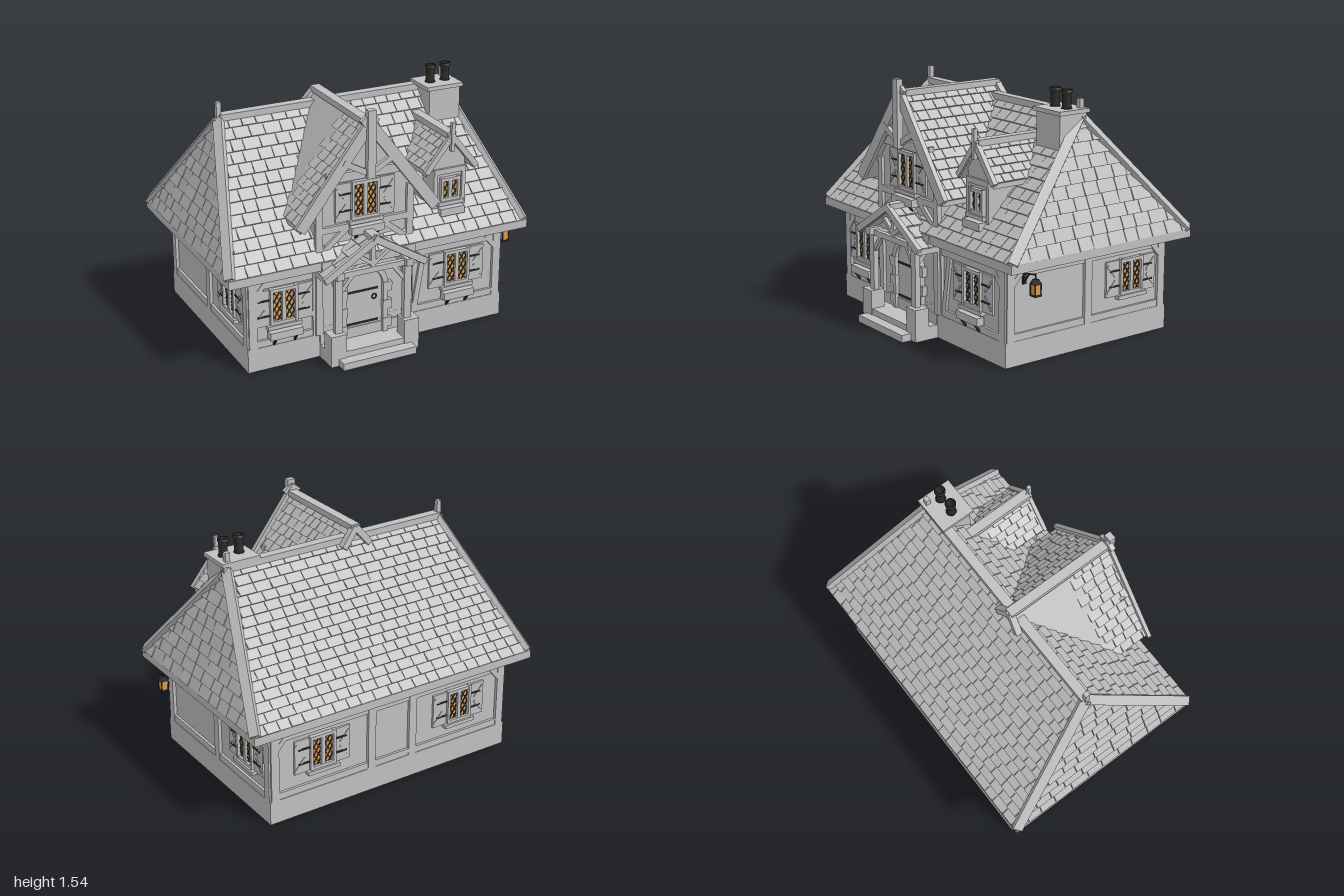
import * as THREE from 'three';
import { ConvexGeometry } from 'three/addons/geometries/ConvexGeometry.js';

const mat = (name, color) => Object.assign(new THREE.MeshStandardMaterial({ color }), { name });
const stone = mat('paleGrey', 0xc0c0c0);
const iron = mat('darkIron', 0x2c2c29);
const amber = mat('amberGlass', 0xd99c50);
const V = (x, y, z) => new THREE.Vector3(x, y, z);

let seed = 7;
const rand = () => (seed = (seed * 16807) % 2147483647) / 2147483647;

function add(parent, name, geo, m = stone, x = 0, y = 0, z = 0) {
  const mesh = new THREE.Mesh(geo, m);
  mesh.name = name;
  mesh.position.set(x, y, z);
  parent.add(mesh);
  return mesh;
}
// box given by its limits on each axis
const span = (p, name, x0, x1, y0, y1, z0, z1, m) =>
  add(p, name, new THREE.BoxGeometry(x1 - x0, y1 - y0, z1 - z0), m, (x0 + x1) / 2, (y0 + y1) / 2, (z0 + z1) / 2);
// bar from a to b, w wide and h thick along the up direction
function beam(p, name, a, b, w, h, m = stone, up = V(0, 0, 1)) {
  const mesh = add(p, name, new THREE.BoxGeometry(w, h, a.distanceTo(b)), m);
  mesh.up.copy(up);
  const q = new THREE.Matrix4().lookAt(b, a, up);
  mesh.quaternion.setFromRotationMatrix(q);
  mesh.position.copy(a).add(b).multiplyScalar(0.5);
  return mesh;
}
// hollow rectangular ring of wall
function ring(p, name, x, zf, zb, y0, y1, t) {
  const rect = (C, k) => new C([[-x + k, -zf + k], [x - k, -zf + k], [x - k, -zb - k], [-x + k, -zb - k]].map(c => new THREE.Vector2(...c)));
  const s = rect(THREE.Shape, 0);
  s.holes.push(rect(THREE.Path, t));
  const g = new THREE.ExtrudeGeometry(s, { depth: y1 - y0, bevelEnabled: false });
  add(p, name, g.rotateX(-Math.PI / 2), stone, 0, y0, 0);
}
// staggered shingles over a slope: A, B along the eave, C, D along the ridge
function shingles(p, name, A, B, C, D, rows, width) {
  const dir = B.clone().sub(A), len = dir.length();
  dir.normalize();
  const sl = D.clone().sub(A).dot(dir), sr = C.clone().sub(B).dot(dir);
  const up = D.clone().sub(A).addScaledVector(dir, -sl);
  const n = dir.clone().cross(up).normalize(), pos = [];
  const at = (u, t, h) => A.clone().addScaledVector(dir, u).addScaledVector(up, t).addScaledVector(n, h);
  const quad = (...c) => [0, 1, 2, 0, 2, 3].forEach(i => pos.push(...c[i].toArray()));
  for (let r = 0; r < rows; r++) {
    const t0 = r / rows, t1 = (r + 1) / rows;
    const clip = (u, t) => Math.min(Math.max(u, sl * t), len + sr * t);
    let u = -width * (r % 2 ? 0.5 : 0) - 0.3 * width * rand();
    while (u < len + Math.max(0, sr)) {
      const v = u + width * (0.8 + 0.4 * rand()), g = 0.002;
      const c = [[clip(u + g, t0), t0], [clip(v - g, t0), t0], [clip(v - g, t1), t1], [clip(u + g, t1), t1]];
      u = v;
      if (c[1][0] - c[0][0] + c[2][0] - c[3][0] < 0.004) continue;
      const lift = 0.011 + 0.006 * rand();
      const b = c.map(k => at(...k, 0)), q = c.map((k, i) => at(...k, i < 2 ? lift : 0.003));
      quad(q[0], q[1], q[2], q[3]);
      quad(b[0], b[1], q[1], q[0]);
      quad(b[3], b[0], q[0], q[3]);
      quad(b[1], b[2], q[2], q[1]);
    }
  }
  const geo = new THREE.BufferGeometry();
  geo.setAttribute('position', new THREE.Float32BufferAttribute(pos, 3));
  geo.computeVertexNormals();
  add(p, name, geo);
}
// pitched roof running along z, with bargeboards at the front
function gableRoof(p, name, o) {
  const g = new THREE.Group();
  g.name = name;
  p.add(g);
  for (const s of [-1, 1]) {
    const ef = V(o.x + s * o.hw, o.ye, o.zf), eb = V(o.x + s * o.hw, o.ye, o.zbe);
    const rf = V(o.x, o.yr, o.zf), rb = V(o.x, o.yr, o.zbr);
    const pts = [ef, eb, rb, rf];
    add(g, 'roofSlab', new ConvexGeometry([...pts, ...pts.map(v => v.clone().add(V(0, -0.03, 0)))]));
    if (s > 0) shingles(g, 'roofShingles', ef, eb, rb, rf, o.rows, 0.075);
    else shingles(g, 'roofShingles', eb, ef, rf, rb, o.rows, 0.075);
    const d = ef.clone().sub(rf).normalize();
    beam(g, 'bargeboard', rf.clone().addScaledVector(d, -o.over), ef.clone().addScaledVector(d, 0.01), o.bw, 0.028 + s * 0.003);
  }
  span(g, 'ridgeCap', o.x - 0.03, o.x + 0.03, o.yr - 0.015, o.yr + 0.022, o.zbr + 0.01, o.zf);
}
function gableBody(p, name, x, hw, y0, ye, ya, zf, zb) {
  const s = new THREE.Shape([[-hw, y0], [hw, y0], [hw, ye], [0, ya], [-hw, ye]].map(c => new THREE.Vector2(...c)));
  add(p, name, new THREE.ExtrudeGeometry(s, { depth: zf - zb, bevelEnabled: false }), stone, x, 0, zb);
}
// leaded casement window facing local +z; (x, y) is the pane centre
function windowAt(p, name, x, y, w, h, { shutters = true, planter = false, z = 0 } = {}) {
  const g = new THREE.Group();
  g.name = name;
  g.position.set(x, y, z);
  p.add(g);
  span(g, 'glass', -w / 2, w / 2, -h / 2, h / 2, -0.064, 0.006, amber);
  for (const s of [-1, 1]) {
    span(g, 'frameSide', s * w / 2 - 0.009, s * w / 2 + 0.009, -h / 2 - 0.015, h / 2 + 0.015, 0, 0.028);
    span(g, 'frameRail', -w / 2, w / 2, s * h / 2 - 0.009, s * h / 2 + 0.012, 0, 0.026);
    // diamond lattice, clipped to each casement
    const pw = w / 2 - 0.014, cx = s * w / 4, k = 0.62;
    for (const e of [-1, 1]) for (let c = -0.3; c < 0.3; c += 0.033) {
      const ends = [(-pw / 2 - c) / k, (pw / 2 - c) / k];
      const y0 = Math.max(-h / 2, ends[0]), y1 = Math.min(h / 2, ends[1]);
      if (y1 - y0 > 0.01) beam(g, 'leading', V(cx + e * (c + k * y0), y0, 0.008), V(cx + e * (c + k * y1), y1, 0.008), 0.006, 0.006, iron);
    }
    if (!shutters) continue;
    const a = w / 2 + 0.012, b = a + 0.1, X = (q, r) => [Math.min(s * q, s * r), Math.max(s * q, s * r)];
    span(g, 'shutter', ...X(a, b), -h / 2 - 0.01, h / 2 + 0.01, 0, 0.014);
    for (const e of [-1, 1]) {
      span(g, 'shutterStrap', ...X(a, a + 0.075), e * h * 0.24 - 0.005, e * h * 0.24 + 0.005, 0.012, 0.02, iron);
      beam(g, 'shutterBrace', V(s * (b - 0.008), e * h * 0.42, 0.015), V(s * (a + 0.03), e * h * 0.06, 0.015), 0.014, 0.008);
    }
  }
  span(g, 'mullion', -0.012, 0.012, -h / 2, h / 2, 0, 0.024);
  span(g, 'sill', -w / 2 - 0.03, w / 2 + 0.03, -h / 2 - 0.032, -h / 2 - 0.008, 0, 0.038);
  if (!planter) return;
  span(g, 'planter', -w / 2 - 0.025, w / 2 + 0.025, -h / 2 - 0.09, -h / 2 - 0.042, 0.01, 0.06);
  for (const s of [-1, 1]) beam(g, 'planterBracket', V(s * w * 0.42, -h / 2 - 0.14, 0.012), V(s * w * 0.42, -h / 2 - 0.088, 0.05), 0.012, 0.012, iron);
}
const archOutline = (C, r, spring) => new C().moveTo(-r, 0).lineTo(r, 0).lineTo(r, spring).absarc(0, spring, r, 0, Math.PI).lineTo(-r, 0);

export function createModel() {
  const house = new THREE.Group();
  house.name = 'cottage';
  const cx = -0.105;

  // foundation and hollow walls
  ring(house, 'foundation', 0.865, 0.535, -0.69, 0, 0.15, 0.075);
  ring(house, 'walls', 0.845, 0.515, -0.67, 0.15, 0.61, 0.06);
  span(house, 'bayFoundation', cx - 0.295, cx + 0.295, 0, 0.15, 0.5, 0.545);

  // timbered faces, each worked in its own wall plane
  const face = (name, x, z, ry, u0, u1, posts) => {
    const f = new THREE.Group();
    f.name = name;
    f.position.set(x, 0, z);
    f.rotation.y = ry;
    house.add(f);
    span(f, 'sillBeam', u0, u1, 0.15, 0.192, 0, 0.016);
    span(f, 'topBeam', u0, u1, 0.525, 0.6, 0, 0.016);
    for (const u of [u0 + 0.018, u1 - 0.018, ...posts]) span(f, 'post', u - 0.027, u + 0.027, 0.15, 0.6, 0, 0.02);
    for (const [u, s] of [[u0, 1], [u1, -1]]) beam(f, 'cornerBrace', V(u + s * 0.03, 0.48, 0.01), V(u + s * 0.1, 0.56, 0.01), 0.03, 0.02);
    return f;
  };
  const front = face('frontWall', 0, 0.515, 0, -0.845, 0.845, [cx - 0.31, cx + 0.31]);
  const right = face('leftSideWall', 0.845, 0, Math.PI / 2, -0.515, 0.67, [0.075]);
  const left = face('rightSideWall', -0.845, 0, -Math.PI / 2, -0.67, 0.515, [-0.075]);
  const back = face('backWall', 0, -0.67, Math.PI, -0.845, 0.845, [-0.15, 0.15]);
  windowAt(front, 'frontWindow', -0.63, 0.395, 0.16, 0.21, { planter: true });
  windowAt(front, 'frontWindow', 0.54, 0.395, 0.16, 0.21, { planter: true });
  windowAt(right, 'sideWindow', 0.41, 0.385, 0.16, 0.2);
  windowAt(left, 'sideWindow', 0.26, 0.385, 0.16, 0.2);
  for (const s of [-1, 1]) windowAt(back, 'backWindow', s * 0.5, 0.385, 0.16, 0.2);
  beam(front, 'slantedBrace', V(0.25, 0.19, 0.008), V(0.305, 0.53, 0.008), 0.035, 0.018);

  // hipped main roof
  const rx = 0.76, ry = 1.38, rz = -0.08, ex = 0.99, ey = 0.645, ef = 0.588, eb = -0.75;
  const corners = [[-ex, ef], [ex, ef], [ex, eb], [-ex, eb]];
  const E = corners.map(([x, z]) => V(x, ey, z)), R = [V(-rx, ry, rz), V(rx, ry, rz)];
  add(house, 'roofCore', new ConvexGeometry([...E, ...R, ...E.map(v => V(v.x, 0.6, v.z))]));
  ring(house, 'eavesFascia', 1, 0.597, -0.757, 0.597, 0.65, 0.02);
  shingles(house, 'frontShingles', E[0], E[1], R[1], R[0], 13, 0.095);
  shingles(house, 'backShingles', E[2], E[3], R[0], R[1], 16, 0.095);
  shingles(house, 'sideShingles', E[1], E[2], R[1], R[1], 10, 0.12);
  shingles(house, 'sideShingles', E[3], E[0], R[0], R[0], 10, 0.12);
  E.forEach((e, i) => {
    const r = R[i === 1 || i === 2 ? 1 : 0], up = V(Math.sign(e.x) * 0.9, 0.5, Math.sign(e.z) * 0.65);
    beam(house, 'hipCap', e.clone().lerp(r, 0.01), r, 0.06, 0.035, stone, up);
  });
  span(house, 'ridgeCap', -rx, rx, 1.365, 1.405, rz - 0.03, rz + 0.03);
  for (const s of [-1, 1]) span(house, 'ridgeFinial', s * rx - 0.015, s * rx + 0.015, 1.37, 1.48, rz - 0.015, rz + 0.015);

  // large front gable
  gableBody(house, 'gableWall', cx, 0.31, 0.6, 1.02, 1.43, 0.53, -0.07);
  span(house, 'bayWall', cx - 0.31, cx + 0.31, 0.15, 0.62, 0.49, 0.53);
  gableRoof(house, 'gableRoof', { x: cx, yr: 1.455, ye: 0.88, hw: 0.44, zf: 0.592, zbr: -0.14, zbe: 0.34, rows: 11, over: 0.055, bw: 0.07 });
  span(house, 'kingPost', cx - 0.026, cx + 0.026, 1.13, 1.545, 0.588, 0.628);
  span(house, 'tieBeam', cx - 0.25, cx + 0.25, 1.11, 1.165, 0.52, 0.555);
  span(house, 'gableRail', cx - 0.31, cx + 0.31, 0.8, 0.84, 0.52, 0.55);
  span(house, 'gableRail', cx - 0.31, cx + 0.31, 0.59, 0.65, 0.52, 0.605);
  for (const s of [-1, 1]) {
    beam(house, 'kingBrace', V(cx + s * 0.17, 1.245, 0.595), V(cx + s * 0.015, 1.16, 0.595), 0.035, 0.025);
    span(house, 'gablePost', cx + s * 0.3 - 0.022, cx + s * 0.3 + 0.022, 0.15, 1.02, 0.52, 0.55);
    beam(house, 'gableBrace', V(cx + s * 0.28, 0.68, 0.535), V(cx + s * 0.12, 0.81, 0.535), 0.035, 0.024);
    beam(house, 'rearRafter', V(cx, 1.46, -0.12), V(cx + s * 0.095, 1.345, -0.135), 0.04, 0.04);
  }
  windowAt(house, 'gableWindow', cx, 0.975, 0.165, 0.22, { planter: true, z: 0.53 });

  // small dormer
  const dx = 0.51;
  gableBody(house, 'dormerWall', dx, 0.108, 0.76, 1.1, 1.22, 0.46, 0.1);
  gableRoof(house, 'dormerRoof', { x: dx, yr: 1.243, ye: 1.035, hw: 0.168, zf: 0.48, zbr: 0.02, zbe: 0.2, rows: 5, over: 0.02, bw: 0.035 });
  span(house, 'dormerFinial', dx - 0.012, dx + 0.012, 1.15, 1.33, 0.478, 0.502);
  span(house, 'dormerLintel', dx - 0.108, dx + 0.108, 1.0, 1.035, 0.45, 0.475);
  for (const s of [-1, 1]) span(house, 'dormerPost', dx + s * 0.097 - 0.013, dx + s * 0.097 + 0.013, 0.78, 1.03, 0.44, 0.473);
  windowAt(house, 'dormerWindow', dx, 0.9, 0.115, 0.13, { shutters: false, planter: true, z: 0.46 });

  // chimney with two pots
  span(house, 'chimneyStack', 0.575, 0.79, 1.1, 1.405, -0.1, 0.095);
  span(house, 'chimneyCap', 0.553, 0.805, 1.4, 1.425, -0.115, 0.108);
  const pot = [[0, 0], [0.034, 0], [0.027, 0.02], [0.027, 0.09], [0.034, 0.098], [0.034, 0.115], [0.022, 0.115], [0.02, 0.03], [0, 0.03]];
  for (const x of [0.63, 0.735]) add(house, 'chimneyPot', new THREE.LatheGeometry(pot.map(c => new THREE.Vector2(...c)), 16), iron, x, 1.42, 0);

  // arched door in a stone surround
  const door = new THREE.Group();
  door.name = 'door';
  door.position.set(cx - 0.002, 0.083, 0.53);
  house.add(door);
  const surround = archOutline(THREE.Shape, 0.155, 0.317);
  surround.holes.push(archOutline(THREE.Path, 0.122, 0.317));
  add(door, 'doorSurround', new THREE.ExtrudeGeometry(surround, { depth: 0.03, bevelEnabled: false }));
  add(door, 'doorLeaf', new THREE.ExtrudeGeometry(archOutline(THREE.Shape, 0.124, 0.317), { depth: 0.088, bevelEnabled: false }), stone, 0, 0, -0.08);
  for (const s of [-1, 1]) for (const y of [0.06, 0.18, 0.3]) span(door, 'quoin', s * 0.15 - 0.03, s * 0.15 + 0.03, y - 0.03, y + 0.03, 0, 0.034);
  for (const y of [0.085, 0.297]) span(door, 'doorStrap', -0.118, 0.095, y - 0.006, y + 0.006, 0.004, 0.014, iron);
  add(door, 'doorRing', new THREE.TorusGeometry(0.015, 0.004, 8, 16), iron, 0.068, 0.245, 0.014);

  // porch with steps, plinths, posts and an open truss
  span(house, 'porchFloor', cx - 0.295, cx + 0.295, 0, 0.083, 0.5, 0.69);
  span(house, 'porchStep', cx - 0.245, cx + 0.245, 0, 0.045, 0.6, 0.76);
  gableRoof(house, 'porchRoof', { x: cx, yr: 0.775, ye: 0.575, hw: 0.325, zf: 0.69, zbr: 0.5, zbe: 0.54, rows: 4, over: 0.02, bw: 0.042 });
  span(house, 'porchTie', cx - 0.29, cx + 0.29, 0.55, 0.585, 0.63, 0.66);
  span(house, 'porchKingPost', cx - 0.015, cx + 0.015, 0.57, 0.76, 0.632, 0.658);
  for (const s of [-1, 1]) {
    const x = cx + s * 0.23;
    span(house, 'porchPlinth', cx + s * 0.245 - 0.05, cx + s * 0.245 + 0.05, 0, 0.2, 0.6, 0.695);
    span(house, 'porchPost', x - 0.024, x + 0.024, 0.2, 0.56, 0.63, 0.665);
    span(house, 'porchPlate', x - 0.024, x + 0.024, 0.555, 0.6, 0.52, 0.69);
    beam(house, 'porchKneeBrace', V(x, 0.44, 0.645), V(x - s * 0.09, 0.555, 0.645), 0.026, 0.026);
    beam(house, 'porchSideBrace', V(x, 0.47, 0.635), V(x, 0.56, 0.55), 0.026, 0.026, stone, V(1, 0, 0));
    beam(house, 'porchStrut', V(cx, 0.6, 0.645), V(cx + s * 0.12, 0.69, 0.645), 0.024, 0.024);
  }

  // hanging lantern on the side wall
  const lamp = new THREE.Group();
  lamp.name = 'lantern';
  lamp.position.set(0.965, 0.44, 0.4);
  house.add(lamp);
  span(lamp, 'lanternGlass', -0.02, 0.02, 0, 0.066, -0.02, 0.02, amber);
  span(lamp, 'lanternBase', -0.025, 0.025, -0.006, 0.004, -0.025, 0.025, iron);
  for (const a of [-1, 1]) for (const b of [-1, 1]) span(lamp, 'lanternBar', a * 0.021 - 0.003, a * 0.021 + 0.003, 0, 0.068, b * 0.021 - 0.003, b * 0.021 + 0.003, iron);
  add(lamp, 'lanternCap', new THREE.CylinderGeometry(0.018, 0.036, 0.028, 4).rotateY(Math.PI / 4), iron, 0, 0.08, 0);
  span(lamp, 'lanternHook', -0.003, 0.003, 0.09, 0.125, -0.003, 0.003, iron);
  beam(lamp, 'lanternArm', V(-0.11, 0.1, 0), V(0, 0.12, 0), 0.008, 0.008, iron);
  beam(lamp, 'lanternStay', V(-0.105, 0.05, 0), V(-0.06, 0.108, 0), 0.007, 0.007, iron);
  span(lamp, 'lanternPlate', -0.11, -0.098, 0.04, 0.125, -0.012, 0.012, iron);

  return house;
}
